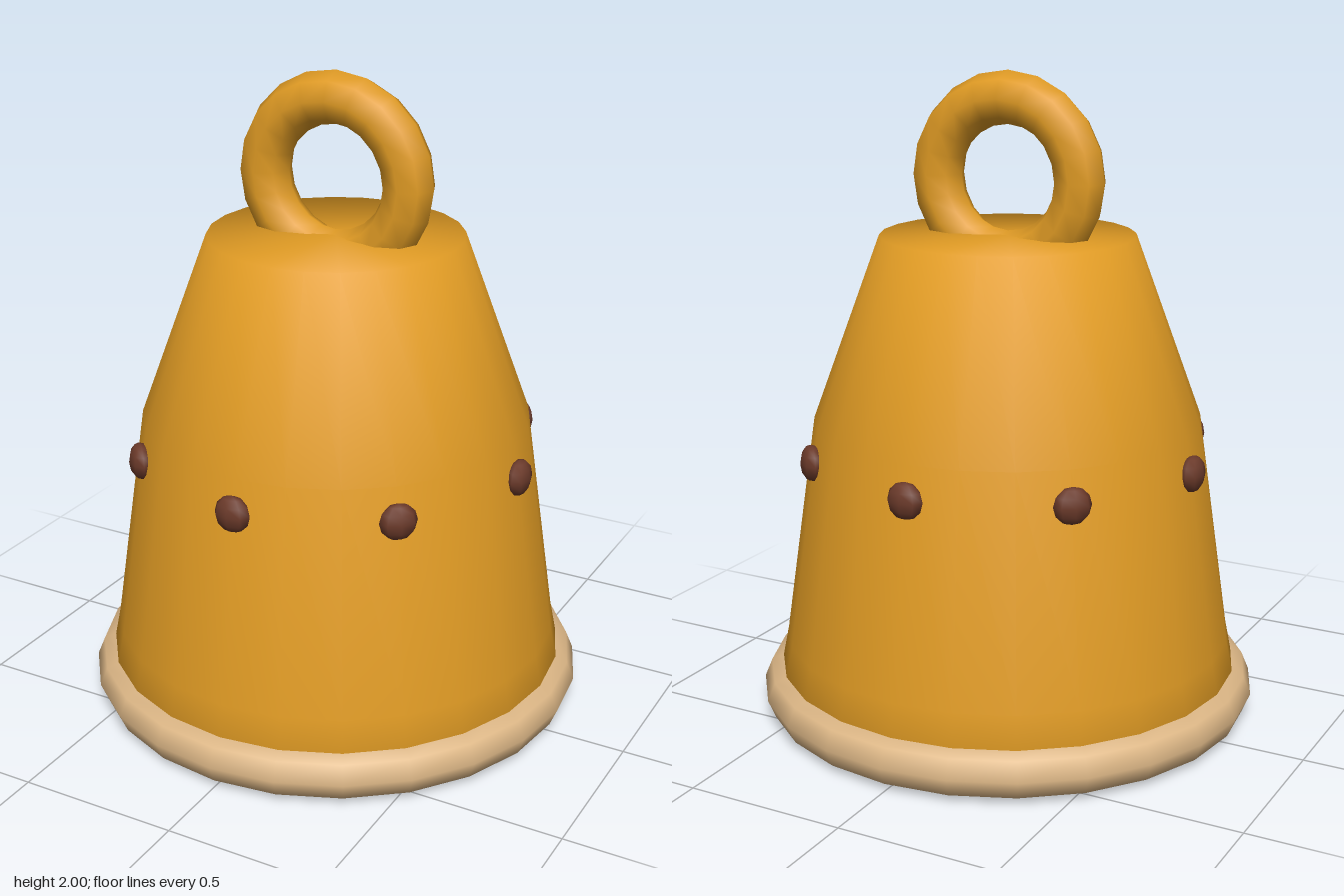
import * as THREE from 'three';

const gold = new THREE.MeshStandardMaterial({ color: 0xe09b24 });
gold.name = 'gold';
const tan = new THREE.MeshStandardMaterial({ color: 0xdeb887 });
tan.name = 'tan';
const brown = new THREE.MeshStandardMaterial({ color: 0x6b3a2a });
brown.name = 'brown';

export function createModel() {
  const model = new THREE.Group();
  model.name = 'bell';

  function add(name, geometry, material, x = 0, y = 0, z = 0) {
    const mesh = new THREE.Mesh(geometry, material);
    mesh.name = name;
    mesh.position.set(x, y, z);
    model.add(mesh);
    return mesh;
  }

  // Bell body: softly shaded flared profile, bottom to top
  const profile = [
    [0.69, 0.05], [0.72, 0.15], [0.7, 0.25], [0.6, 0.94], [0.39, 1.51], [0, 1.51],
  ].map(([r, y]) => new THREE.Vector2(r, y));
  add('body', new THREE.LatheGeometry(profile, 24), gold);

  // Closed underside, facing down
  add('underside', new THREE.CircleGeometry(0.69, 24).rotateX(Math.PI / 2), gold, 0, 0.05, 0);

  // Thick rounded rim
  add('rim', new THREE.TorusGeometry(0.7, 0.08, 8, 24).rotateX(Math.PI / 2), tan, 0, 0.08, 0);

  // Hanging loop
  add('loop', new THREE.TorusGeometry(0.24, 0.08, 8, 20), gold, 0, 1.68, 0);

  // Eight flattened studs around the waist
  const studGeometry = new THREE.SphereGeometry(1, 8, 6).scale(0.058, 0.056, 0.036);
  for (let i = 0; i < 8; i++) {
    const a = (i * Math.PI) / 4;
    const stud = add('stud', studGeometry, brown, 0.62 * Math.sin(a), 0.84, 0.62 * Math.cos(a));
    stud.rotation.y = a;
  }

  return model;
}
